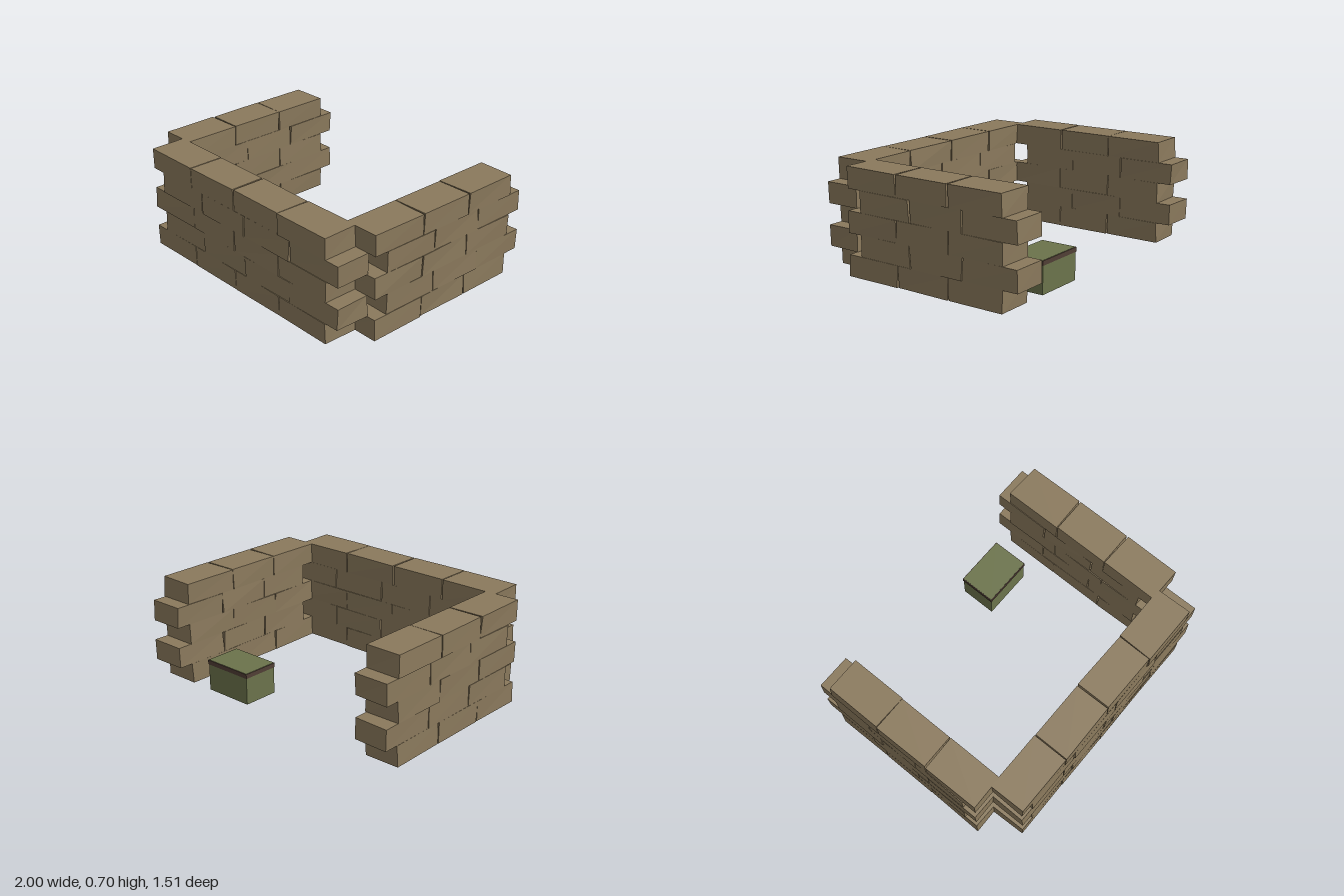
import * as THREE from 'three';

const COURSE = 0.1394; // height of one row of bricks

// Small seeded generator for the rough-cut corners
function makeRandom(seed) {
  let s = seed;
  return () => {
    s = (s * 16807) % 2147483647;
    return s / 2147483647;
  };
}

// A block whose vertical edges are nudged slightly, keeping flat beds top and bottom
function brickGeometry(width, depth, rand) {
  const geometry = new THREE.BoxGeometry(width, COURSE, depth).toNonIndexed();
  const nudges = Array.from({ length: 8 }, () => [(rand() - 0.5) * 0.01, (rand() - 0.5) * 0.01]);
  const p = geometry.attributes.position;
  for (let i = 0; i < p.count; i++) {
    const corner = (p.getX(i) > 0 ? 1 : 0) + (p.getZ(i) > 0 ? 2 : 0) + (p.getY(i) > 0 ? 4 : 0);
    p.setX(i, p.getX(i) + nudges[corner][0]);
    p.setZ(i, p.getZ(i) + nudges[corner][1]);
  }
  geometry.computeVertexNormals();
  return geometry;
}

export function createModel() {
  const stone = new THREE.MeshStandardMaterial({ color: 0x8a795c });
  stone.name = 'tan stone';
  const green = new THREE.MeshStandardMaterial({ color: 0x6b734b });
  green.name = 'olive green';
  const brown = new THREE.MeshStandardMaterial({ color: 0x503e35 });
  brown.name = 'dark brown';

  const model = new THREE.Group();
  model.name = 'brickEnclosure';
  const rand = makeRandom(4711);
  const thick = 0.238;
  const gap = 0.006;

  const frontWall = new THREE.Group();
  frontWall.name = 'frontWall';
  const leftWall = new THREE.Group();
  leftWall.name = 'leftWall';
  const rightWall = new THREE.Group();
  rightWall.name = 'rightWall';
  model.add(frontWall, leftWall, rightWall);

  function addBrick(wall, width, depth, x, y, z) {
    const brick = new THREE.Mesh(brickGeometry(width, depth, rand), stone);
    brick.name = 'brick';
    brick.position.set(x, y, z);
    wall.add(brick);
  }

  // Five courses in running bond, every second one shifted sideways
  for (let row = 0; row < 5; row++) {
    const shift = row % 2 ? 0.1 : 0;
    const y = (row + 0.5) * COURSE;
    for (let i = 0; i < 4; i++) {
      const x = -0.83 + shift + (i + 0.5) * 0.415;
      addBrick(frontWall, 0.415 - gap, thick, x, y, 0.632);
    }
    for (let i = 0; i < 3; i++) {
      const z = 0.521 - shift - (i + 0.5) * 0.392;
      addBrick(leftWall, thick, 0.392 - gap, 0.874, y, z);
      addBrick(rightWall, thick, 0.392 - gap, -0.876, y, z);
    }
  }

  // Chest standing in the open yard, with a dark rim around its top
  const chest = new THREE.Group();
  chest.name = 'chest';
  chest.position.set(0.417, 0, -0.525);
  const body = new THREE.Mesh(new THREE.BoxGeometry(0.35, 0.214, 0.246), green);
  body.name = 'chestBody';
  body.position.y = 0.107;
  const rim = new THREE.Mesh(new THREE.BoxGeometry(0.358, 0.03, 0.254), brown);
  rim.name = 'chestRim';
  rim.position.y = 0.197;
  chest.add(body, rim);
  model.add(chest);

  return model;
}
